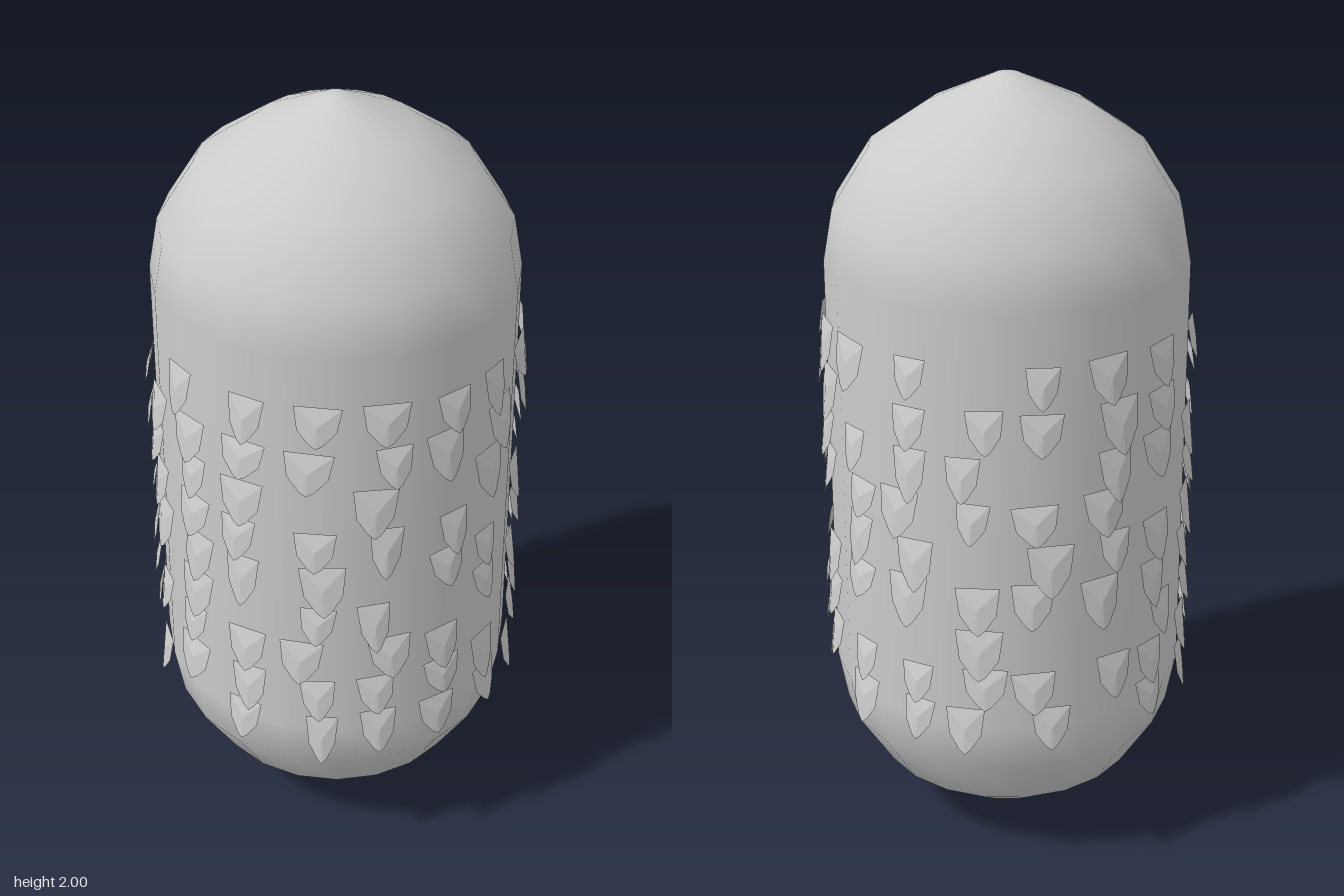
import * as THREE from 'three';

const BODY_RADIUS = 0.455;

// One pointed scale, one unit wide and tall, hanging from its flat top edge
function makeScaleGeometry() {
  const corners = [
    [0, -0.45, 0.017],   // raised middle
    [-0.5, 0, 0], [-0.41, -0.58, 0.01], [-0.15, -0.9, 0.02], [0, -1, 0.023],
    [0.15, -0.9, 0.02], [0.41, -0.58, 0.01], [0.5, 0, 0],
  ];
  const index = [];
  for (let i = 1; i < corners.length; i++) index.push(0, i, i === 7 ? 1 : i + 1);
  const geometry = new THREE.BufferGeometry();
  geometry.setAttribute('position', new THREE.Float32BufferAttribute(corners.flat(), 3));
  geometry.setIndex(index);
  geometry.computeVertexNormals();
  return geometry;
}

export function createModel() {
  const model = new THREE.Group();
  model.name = 'scaledCapsule';

  // Capsule body: 20 sides, slightly conical domes
  const dome = [[0.03, 2], [0.195, 1.927], [0.339, 1.828], [0.431, 1.682], [BODY_RADIUS, 1.55]];
  const half = [[0, 2], ...dome];
  const profile = [...half.map(([r, y]) => [r, 2 - y]), ...half.slice().reverse()];
  const body = new THREE.Mesh(
    new THREE.LatheGeometry(profile.map(([r, y]) => new THREE.Vector2(r, y)), 20),
    new THREE.MeshStandardMaterial({ color: 0xcccccc }),
  );
  body.name = 'body';
  model.add(body);

  // Columns of scales around the body; each string runs from the top row down
  const columns = [
    'xxxxxxxx.', 'xxxxx.xxx', 'xx.xxxxxx', 'xxxx.xxxx', 'xx.xx.xxx', 'xxx.xx.xx',
    'xx.xxxxxx', 'xxxx.xxx.', 'x.xxxx.xx', 'xxxxxx.xx', '.xxx.xxxx', 'xx.xxx.xx',
    'xxxxxx.x.', 'xxx.xxxxx', 'x.xxxxxxx', '.xx.xxxx.', '.xxxx.x.x',
  ];
  let seed = 7;
  const jitter = (amount) => {
    seed = (seed * 16807) % 2147483647;
    return (seed / 2147483647 - 0.5) * 2 * amount;
  };
  const geometry = makeScaleGeometry();
  const material = new THREE.MeshStandardMaterial({
    color: 0xcccccc, flatShading: true, side: THREE.DoubleSide,
  });
  const scales = new THREE.Group();
  scales.name = 'scales';
  columns.forEach((rows, c) => {
    [...rows].forEach((cell, r) => {
      if (cell === '.') return;
      const angle = THREE.MathUtils.degToRad(4 + c * 360 / columns.length + jitter(3.5));
      const radius = BODY_RADIUS + 0.006;
      const scale = new THREE.Mesh(geometry, material);
      scale.name = 'scale';
      scale.position.set(Math.sin(angle) * radius, 1.422 - r * 0.1145 + jitter(0.01), Math.cos(angle) * radius);
      scale.rotation.set(0, angle, jitter(0.06), 'YXZ');
      scale.scale.set(0.102 + jitter(0.02), 0.12 + jitter(0.022), 1);
      scales.add(scale);
    });
  });
  model.add(scales);
  return model;
}
